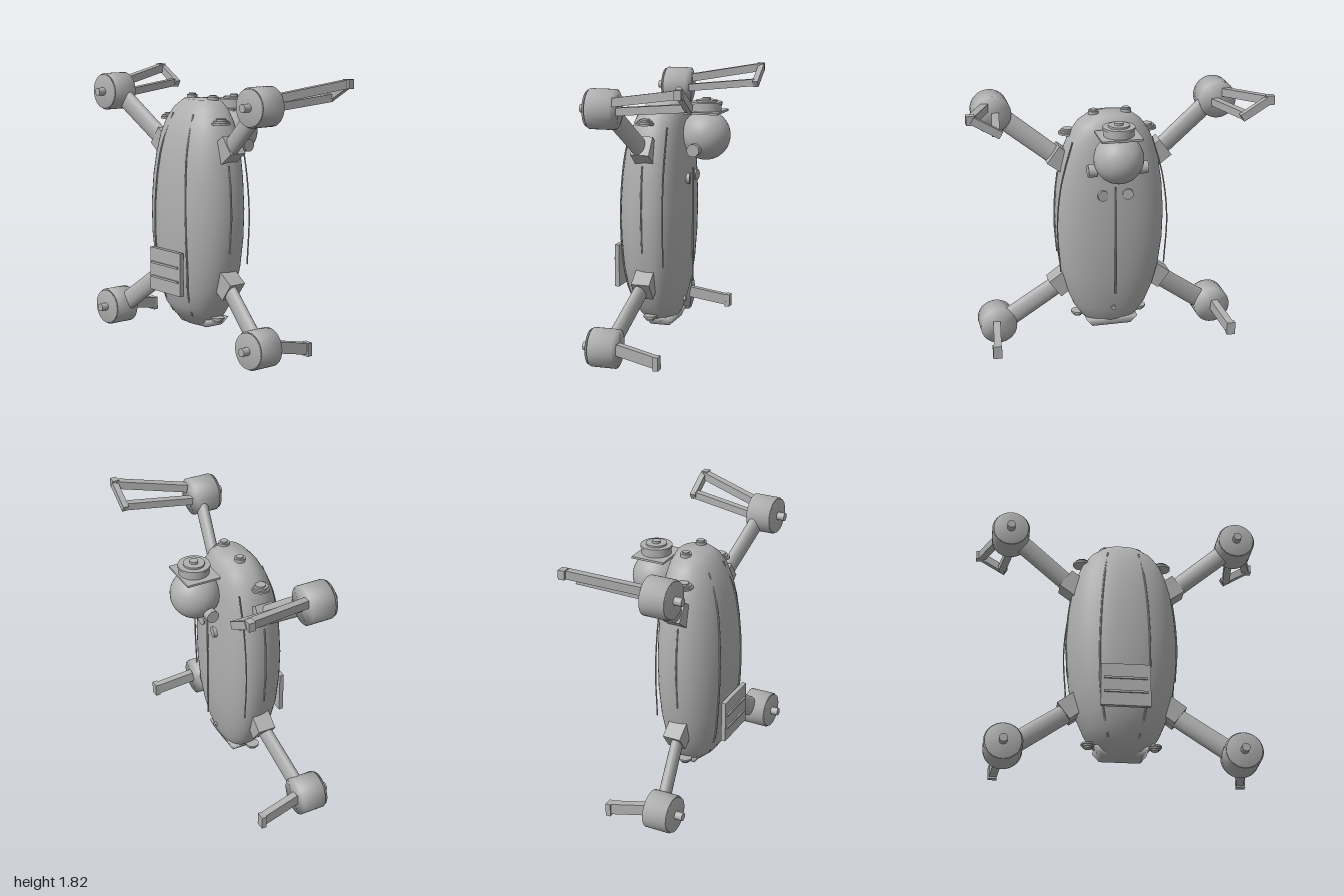
import * as THREE from 'three';
import { mergeVertices } from 'three/addons/utils/BufferGeometryUtils.js';

const shell = new THREE.MeshStandardMaterial({ color: 0xb0b0b0 });
shell.name = 'plain grey';
const V = (x, y, z) => new THREE.Vector3(x, y, z);

// hull stations: y, half width, back z, front z
const ZC = 0.07;
const stations = [
  [0.135, 0.12, 0.0, 0.15], [0.2, 0.195, -0.04, 0.22], [0.28, 0.25, -0.065, 0.275],
  [0.4, 0.3, -0.092, 0.305], [0.55, 0.34, -0.113, 0.33], [0.75, 0.367, -0.126, 0.343],
  [0.95, 0.373, -0.13, 0.345], [1.15, 0.36, -0.126, 0.332], [1.3, 0.338, -0.12, 0.312],
  [1.42, 0.31, -0.11, 0.285], [1.52, 0.27, -0.098, 0.25], [1.6, 0.215, -0.08, 0.205],
  [1.66, 0.135, -0.05, 0.15],
];
const POW = 2.25;

function stationAt(y) {
  let i = 0;
  while (i < stations.length - 2 && stations[i + 1][0] < y) i++;
  const a = stations[i], b = stations[i + 1];
  const t = THREE.MathUtils.clamp((y - a[0]) / (b[0] - a[0]), 0, 1);
  return a.map((v, k) => v + (b[k] - v) * t);
}

// point on the hull's front or back at a given x and y
function onHull(x, y, front, lift = 0.003) {
  const [, w, zb, zf] = stationAt(y);
  const k = Math.pow(Math.max(0, 1 - Math.pow(Math.abs(x) / w, POW)), 1 / POW);
  return V(x, y, front ? ZC + (zf - ZC) * k + lift : ZC + (zb - ZC) * k - lift);
}

// weld corners so shading runs smoothly around the whole part
function soften(geo) {
  geo.deleteAttribute('normal');
  geo.deleteAttribute('uv');
  const g = mergeVertices(geo, 1e-4);
  g.computeVertexNormals();
  return g;
}

function hullGeometry() {
  const N = 56, pos = [], idx = [];
  const ring = ([y, w, zb, zf]) => {
    for (let j = 0; j < N; j++) {
      const a = (j / N) * Math.PI * 2, s = Math.sin(a), c = Math.cos(a);
      const e = 2 / POW;
      const depth = c > 0 ? zf - ZC : ZC - zb;
      pos.push(w * Math.sign(s) * Math.abs(s) ** e, y, ZC + depth * Math.sign(c) * Math.abs(c) ** e);
    }
  };
  stations.forEach(ring);
  for (let i = 0; i < stations.length - 1; i++) {
    for (let j = 0; j < N; j++) {
      const a = i * N + j, b = i * N + (j + 1) % N;
      idx.push(a, b, b + N, a, b + N, a + N);
    }
  }
  // end caps
  const top = (stations.length - 1) * N, c0 = pos.length / 3;
  pos.push(0, 0.13, 0.07, 0, 1.668, 0.05);
  for (let j = 0; j < N; j++) {
    const k = (j + 1) % N;
    idx.push(c0, k, j, c0 + 1, top + j, top + k);
  }
  const g = new THREE.BufferGeometry();
  g.setAttribute('position', new THREE.Float32BufferAttribute(pos, 3));
  g.setIndex(idx);
  g.computeVertexNormals();
  return g;
}

export function createModel() {
  const root = new THREE.Group();
  root.name = 'quadcopter';

  const add = (name, geo, x = 0, y = 0, z = 0) => {
    const m = new THREE.Mesh(geo, shell);
    m.name = name;
    m.position.set(x, y, z);
    root.add(m);
    return m;
  };
  const box = (name, w, h, d, x, y, z) => add(name, new THREE.BoxGeometry(w, h, d), x, y, z);
  const disc = (name, r, h, x, y, z) => add(name, new THREE.CylinderGeometry(r, r, h, 32), x, y, z);
  const discZ = (name, r, h, x, y, z, r2 = r) =>
    add(name, new THREE.CylinderGeometry(r, r2, h, 40).rotateX(Math.PI / 2), x, y, z);
  // part stretched between two points
  const span = (name, a, b, make) => {
    const m = add(name, make(a.distanceTo(b)));
    m.position.copy(a).lerp(b, 0.5);
    m.lookAt(b);
    return m;
  };
  const beam = (name, a, b, w, h) => span(name, a, b, (l) => new THREE.BoxGeometry(w, h, l));
  const strip = (name, pts, r = 0.006) =>
    add(name, new THREE.TubeGeometry(new THREE.CatmullRomCurve3(pts), 40, r, 6));

  add('hull', hullGeometry());

  // tapered foot under the hull
  const foot = new THREE.BoxGeometry(0.36, 0.06, 0.18);
  const fp = foot.attributes.position;
  for (let i = 0; i < fp.count; i++) {
    if (fp.getY(i) < 0) fp.setXYZ(i, fp.getX(i) * 0.75, fp.getY(i), fp.getZ(i) * 0.75);
  }
  add('footBlock', soften(foot), 0, 0.16, 0.06);

  // ribbed panel on the front
  box('frontPanel', 0.325, 0.29, 0.03, 0, 0.525, 0.357);
  for (const y of [0.475, 0.57]) box('panelRib', 0.285, 0.014, 0.012, 0, y, 0.376);

  // round head with flat brim and stepped cap
  add('head', new THREE.SphereGeometry(0.165, 40, 28), 0, 1.425, -0.22);
  box('headBrim', 0.275, 0.014, 0.235, 0, 1.582, -0.22);
  disc('capBase', 0.1, 0.05, 0, 1.612, -0.225);
  disc('capRim', 0.106, 0.016, 0, 1.64, -0.225);
  disc('capStep', 0.07, 0.014, 0, 1.653, -0.225);
  disc('capTip', 0.028, 0.02, 0, 1.665, -0.225);

  // strips and buttons on the back
  strip('spineStrip', [1.2, 0.95, 0.7, 0.42].map((y) => V(0, y, -0.132)));
  discZ('tailButton', 0.016, 0.02, 0, 0.29, -0.074);

  for (const s of [-1, 1]) {
    const side = s > 0 ? 'left' : 'right';
    const P = (x, y, z) => V(s * x, y, z);

    // long seams
    strip(side + 'FrontSeam', [[0.105, 1.57], [0.135, 1.35], [0.155, 1.1], [0.165, 0.8], [0.16, 0.55],
      [0.135, 0.38], [0.1, 0.22]].map(([x, y]) => onHull(s * x, y, true)));
    strip(side + 'SideSeam', [1.25, 1.1, 0.9, 0.67].map((y) => P(stationAt(y)[1] + 0.001, y, 0.11)));
    strip(side + 'RearWire', [[0.27, 1.5], [0.345, 1.22], [0.378, 0.92], [0.36, 0.58]]
      .map(([x, y]) => P(x, y, -0.038)), 0.005);

    // small fittings
    const back = discZ(side + 'BackButton', 0.036, 0.022, s * 0.085, 1.14, -0.127);
    back.rotation.y = s * 0.12;
    disc(side + 'TopButton', 0.036, 0.024, s * 0.11, 1.668, 0.05);
    disc(side + 'TopButtonCap', 0.024, 0.014, s * 0.11, 1.683, 0.05);
    [[0.062, 1.518], [0.05, 1.53], [0.035, 1.542]].forEach(([r, y]) =>
      disc(side + 'ShoulderDisc', r, 0.014, s * 0.272, y, 0.115));
    [[0.045, 0.207], [0.036, 0.196], [0.026, 0.185]].forEach(([r, y]) =>
      disc(side + 'HipDisc', r, 0.012, s * 0.22, y, 0.1));
    const ear = disc(side + 'HeadKnob', 0.042, 0.06, s * 0.17, 1.345, -0.19);
    ear.rotation.z = Math.PI / 2;

    // arms, knuckles and motor pods
    for (const up of [true, false]) {
      const tag = side + (up ? 'Upper' : 'Lower');
      const my = up ? 1.67 : 0.132;
      const start = up ? P(0.31, 1.325, 0.1) : P(0.3, 0.465, 0.1);
      const end = up ? P(0.73, 1.65, 0.19) : P(0.73, 0.14, 0.19);
      span(tag + 'Arm', start, end, (l) =>
        new THREE.CylinderGeometry(0.068, 0.064, l, 32).rotateX(Math.PI / 2).scale(0.6, 1, 1));
      beam(tag + 'Knuckle', up ? P(0.27, 1.305, 0.1) : P(0.27, 0.5, 0.1),
        up ? P(0.385, 1.39, 0.1) : P(0.385, 0.415, 0.1), 0.125, 0.14);
      add(tag + 'Motor', soften(new THREE.CylinderGeometry(0.127, 0.127, 0.165, 40).rotateX(Math.PI / 2)),
        s * 0.77, my, 0.2125);
      add(tag + 'MotorCap', soften(new THREE.CylinderGeometry(0.118, 0.118, 0.02, 40).rotateX(Math.PI / 2)),
        s * 0.77, my, 0.303);
      discZ(tag + 'Hub', 0.027, 0.055, s * 0.77, my, 0.337);
    }

    // upper leg: two bars joined by a crossbar
    beam(side + 'OuterBar', P(0.82, 1.72, 0.13), P(0.962, 1.797, -0.34), 0.05, 0.055);
    beam(side + 'InnerBar', P(0.75, 1.655, 0.13), P(0.815, 1.7, -0.34), 0.05, 0.05);
    beam(side + 'Crossbar', P(0.785, 1.69, -0.35), P(0.965, 1.798, -0.35), 0.04, 0.05);
    box(side + 'CrossbarEnd', 0.055, 0.06, 0.045, s * 0.9725, 1.797, -0.342);

    // lower leg: one short bar with an end block
    beam(side + 'LowerLeg', P(0.785, 0.135, 0.13), P(0.82, 0.085, -0.14), 0.05, 0.075);
    box(side + 'LowerLegEnd', 0.06, 0.09, 0.035, s * 0.825, 0.08, -0.15);
  }
  return root;
}
